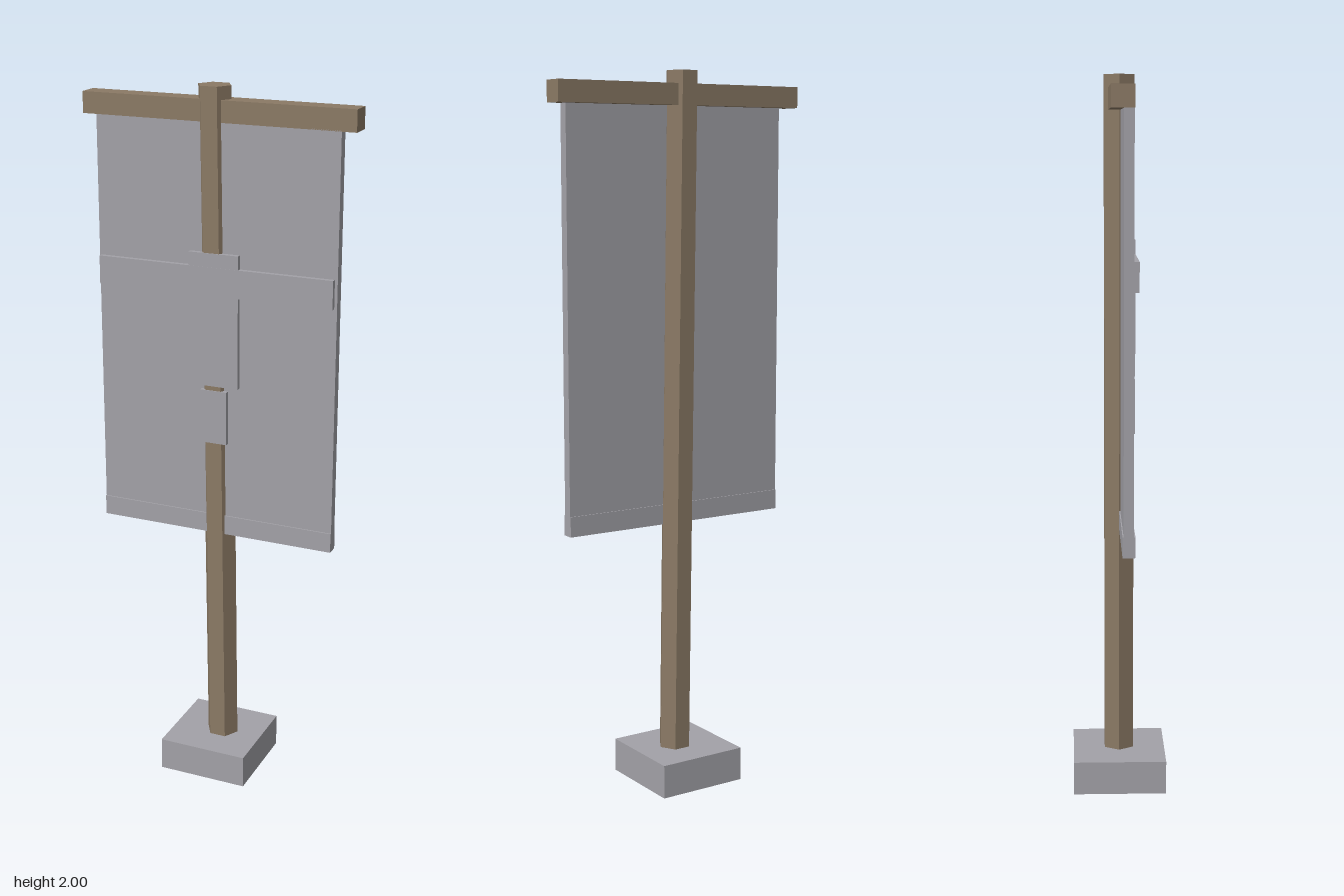
import * as THREE from 'three';

export function createModel() {
  const model = new THREE.Group();
  const wood = new THREE.MeshStandardMaterial({ name: 'wood', color: 0x8b7a65, flatShading: true });
  const grey = new THREE.MeshStandardMaterial({ name: 'grey', color: 0xa3a2a8, flatShading: true });

  function add(name, geometry, material) {
    const mesh = new THREE.Mesh(geometry, material);
    mesh.name = name;
    model.add(mesh);
  }

  // Box given by its lower and upper limits on each axis
  function box(name, material, [x0, x1], [y0, y1], [z0, z1]) {
    const geometry = new THREE.BoxGeometry(x1 - x0, y1 - y0, z1 - z0);
    geometry.translate((x0 + x1) / 2, (y0 + y1) / 2, (z0 + z1) / 2);
    add(name, geometry, material);
  }

  // Stone foot
  box('base', grey, [-0.131, 0.131], [0, 0.095], [-0.131, 0.131]);

  // Six-sided pole, leaning slightly to one side
  const pole = new THREE.CylinderGeometry(0.047, 0.047, 1.95, 6);
  pole.rotateY(Math.PI / 6);
  pole.translate(0, 1.025, 0);
  const position = pole.attributes.position;
  for (let i = 0; i < position.count; i++) {
    const y = position.getY(i);
    position.setX(i, position.getX(i) + 0.0115 - 0.013 * y);
  }
  pole.computeVertexNormals();
  add('pole', pole, wood);

  // Crossbar carrying the cloth
  box('crossbar', wood, [-0.387, 0.387], [1.907, 1.965], [-0.03, 0.03]);

  // Hanging cloth and its thicker hem
  box('bannerCloth', grey, [-0.347, 0.347], [0.79, 1.91], [0.003, 0.03]);
  box('bannerHem', grey, [-0.347, 0.347], [0.75, 0.806], [0, 0.034]);

  // Raised emblem on the front of the cloth
  box('emblemBody', grey, [-0.073, 0.071], [1.19, 1.562], [0.028, 0.043]);
  box('emblemArms', grey, [-0.342, 0.339], [1.445, 1.524], [0.028, 0.0435]);
  box('emblemTail', grey, [-0.04, 0.038], [1.024, 1.177], [0.028, 0.0435]);

  return model;
}
